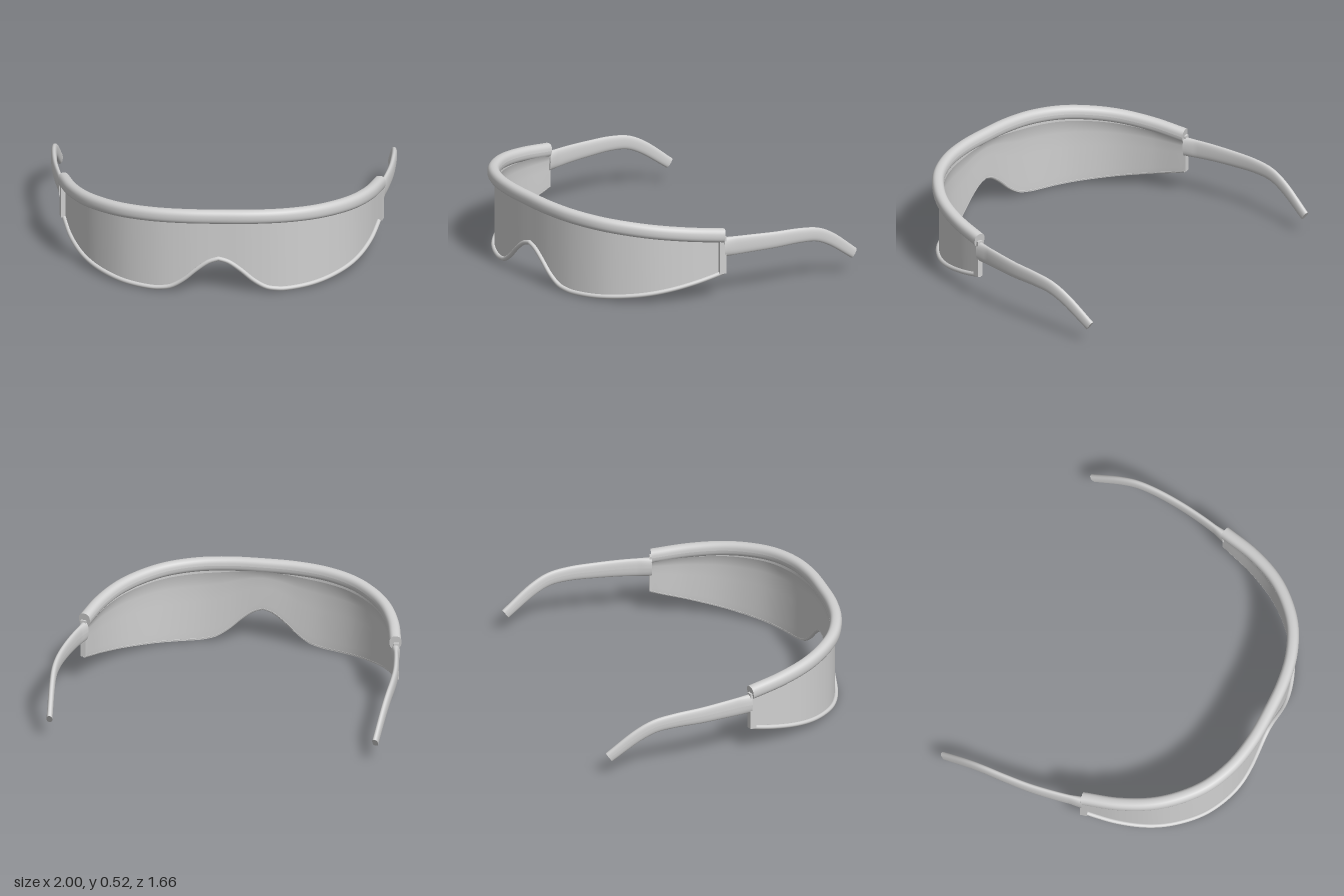
import * as THREE from 'three';

const grey = new THREE.MeshStandardMaterial({ color: 0xd0d0d0, side: THREE.DoubleSide });
grey.name = 'light grey';

const V = (x, y, z) => new THREE.Vector3(x, y, z);

// Direction along a list of points, and the level direction across it
const tangent = (pts, i) => pts[Math.min(i + 1, pts.length - 1)].clone().sub(pts[Math.max(i - 1, 0)]).normalize();
const across = (t) => V(0, 1, 0).cross(t).normalize();

// Capped sweep; size(t) gives [half width, half height], power 2 is an ellipse, more is squarer
function sweep(points, size, power = 2, sides = 24) {
  const pos = [], index = [], n = points.length;
  const bend = (v) => Math.sign(v) * Math.abs(v) ** (2 / power);
  for (let i = 0; i < n; i++) {
    const t = tangent(points, i), side = across(t), up = t.clone().cross(side);
    const [w, h] = size(i / (n - 1));
    for (let j = 0; j <= sides; j++) {
      const a = (j / sides) * Math.PI * 2;
      pos.push(...points[i].clone()
        .addScaledVector(side, w * bend(Math.cos(a)))
        .addScaledVector(up, h * bend(Math.sin(a))));
    }
  }
  const row = sides + 1;
  for (let i = 0; i < n - 1; i++) {
    for (let j = 0; j < sides; j++) {
      const a = i * row + j;
      index.push(a, a + 1, a + row, a + 1, a + row + 1, a + row);
    }
  }
  // Flat end caps with their own vertices
  for (const end of [0, n - 1]) {
    const base = pos.length / 3;
    pos.push(...points[end]);
    for (let j = 0; j <= sides; j++) {
      const k = (end * row + j) * 3;
      pos.push(pos[k], pos[k + 1], pos[k + 2]);
    }
    for (let j = 1; j <= sides; j++) {
      if (end) index.push(base, base + j, base + j + 1);
      else index.push(base, base + j + 1, base + j);
    }
  }
  return build(pos, index);
}

function build(pos, index) {
  const g = new THREE.BufferGeometry();
  g.setAttribute('position', new THREE.Float32BufferAttribute(pos, 3));
  g.setIndex(index);
  g.computeVertexNormals();
  return g;
}

// Wraparound plan curve, right to left
const half = [[0.2, 0.789], [0.38, 0.754], [0.55, 0.677], [0.68, 0.567], [0.78, 0.437], [0.86, 0.26], [0.912, 0.06]];
const plan = new THREE.CatmullRomCurve3([
  ...half.map(([x, z]) => V(-x, 0, z)).reverse(),
  V(0, 0, 0.796),
  ...half.map(([x, z]) => V(x, 0, z)),
]).getSpacedPoints(140);

// Lower lens outline: height for each distance from the nose
const outline = new THREE.SplineCurve([
  [0, 0.216], [0.06, 0.196], [0.13, 0.145], [0.2, 0.082], [0.27, 0.036], [0.33, 0.02], [0.4, 0.014],
  [0.55, 0.02], [0.7, 0.04], [0.8, 0.068], [0.87, 0.108], [0.915, 0.157],
].map(([x, y]) => new THREE.Vector2(x, y))).getPoints(120);

function lowerY(x) {
  const d = Math.abs(x);
  const i = Math.max(1, outline.findIndex((p) => p.x >= d));
  const a = outline[i - 1], b = outline[i];
  return a.y + ((b.y - a.y) * (d - a.x)) / (b.x - a.x);
}
const upperY = (z) => 0.377 + (z - 0.06) * 0.141;

// Curved lens sheet; profile rows are [height fraction, inward offset]
function lensSheet(profile) {
  const pos = [], index = [], row = profile.length;
  plan.forEach((p, i) => {
    const low = lowerY(p.x), high = upperY(p.z), side = across(tangent(plan, i));
    for (const [f, inward] of profile) {
      const q = p.clone().addScaledVector(side, inward);
      pos.push(q.x, low + (high - low) * f, q.z);
    }
    if (i === 0) return;
    for (let j = 0; j < row - 1; j++) {
      const b = i * row + j, a = b - row;
      index.push(a, b, a + 1, b, b + 1, a + 1);
    }
  });
  return build(pos, index);
}

export function createModel() {
  const model = new THREE.Group();
  model.name = 'wraparoundGlasses';
  const add = (name, geometry) => {
    const mesh = new THREE.Mesh(geometry, grey);
    mesh.name = name;
    model.add(mesh);
    return mesh;
  };

  // Lens faces; the inner one meets the rim flush and flares into the brow bar
  add('lensOuterFace', lensSheet([[0, 0.006], [0.5, 0.006], [1, 0.006]]));
  add('lensInnerFace', lensSheet([[-0.02, 0.012], [0.1, 0.014], [0.5, 0.014], [0.72, 0.015], [0.82, 0.02], [0.9, 0.03]]));

  add('browBar', sweep(plan.map((p) => V(p.x, upperY(p.z), p.z)), () => [0.035, 0.041], 2.4));
  add('lowerRim', sweep(plan.map((p) => V(p.x, lowerY(p.x), p.z)), () => [0.013, 0.013], 2, 12));

  for (const s of [1, -1]) {
    const name = s > 0 ? 'left' : 'right';

    // Hinge post at the lens end
    const post = add(name + 'HingePost', new THREE.BoxGeometry(0.034, 0.225, 0.04));
    post.position.set(s * 0.914, 0.263, 0.069);
    post.rotation.y = -s * 0.22;

    // Temple arm, flattened and hooked down behind the ear
    const arm = new THREE.CatmullRomCurve3([
      [0.912, 0.307, 0.06], [0.945, 0.308, -0.1], [0.969, 0.306, -0.26], [0.98, 0.304, -0.42],
      [0.98, 0.288, -0.54], [0.973, 0.242, -0.64], [0.955, 0.118, -0.813],
    ].map(([x, y, z]) => V(s * x, y, z))).getSpacedPoints(60);
    add(name + 'TempleArm', sweep(arm, (t) => [0.017 + 0.01 * Math.max(0, 1 - t * 12), 0.058 - 0.026 * t], 2.4));
  }
  return model;
}
